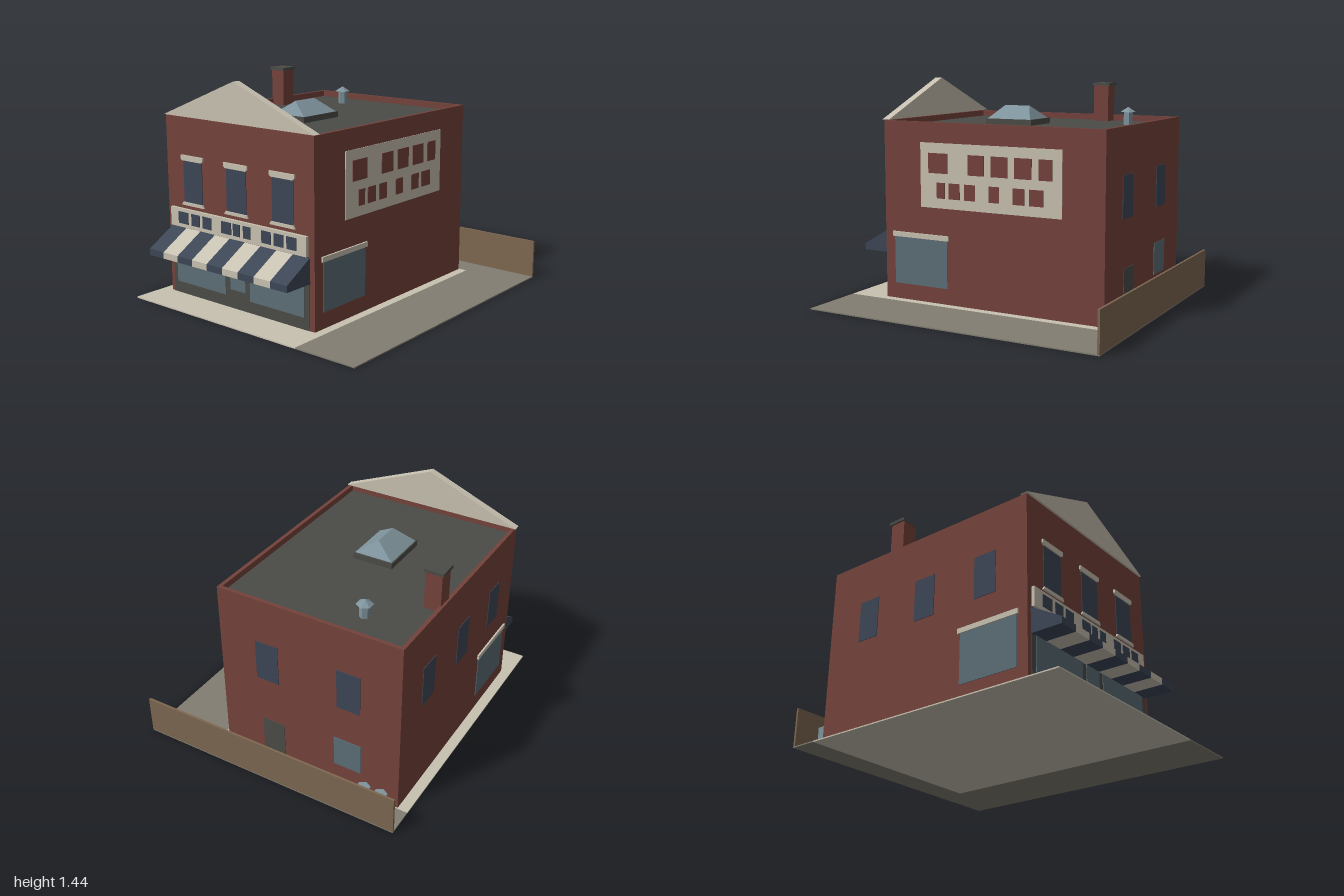
import * as THREE from 'three';
import { ConvexGeometry } from 'three/addons/geometries/ConvexGeometry.js';

const mat = (name, color) => {
  const m = new THREE.MeshStandardMaterial({ color });
  m.name = name;
  return m;
};

export function createModel() {
  const brick = mat('brick red', 0x74423b);
  const stone = mat('pale stone', 0xc8c1b1);
  const navy = mat('navy', 0x3c4656);
  const glass = mat('teal glass', 0x5c6d76);
  const steel = mat('steel blue', 0x7f949d);
  const dark = mat('dark grey', 0x4b4b47);
  const paving = mat('lot grey', 0x827d71);
  const wood = mat('fence brown', 0x7d6751);

  const model = new THREE.Group();
  model.name = 'cornerShop';

  const add = (name, geometry, material, x = 0, y = 0, z = 0) => {
    const mesh = new THREE.Mesh(geometry, material);
    mesh.name = name;
    mesh.position.set(x, y, z);
    model.add(mesh);
    return mesh;
  };
  // Box given by its limits on each axis
  const block = (name, material, x0, x1, y0, y1, z0, z1) =>
    add(name, new THREE.BoxGeometry(x1 - x0, y1 - y0, z1 - z0), material,
      (x0 + x1) / 2, (y0 + y1) / 2, (z0 + z1) / 2);

  // Building limits
  const L = -0.832, R = 0.412, B = -0.812, F = 0.755, TOP = 1.18, DECK = 1.14, G = 0.008;
  const MID = (L + R) / 2;

  // Plate on a wall: u runs along x (front, back) or z (left, right)
  const plate = (wall, name, material, u0, u1, y0, y1, t = 0.004) => {
    if (wall === 'front') return block(name, material, u0, u1, y0, y1, F, F + t);
    if (wall === 'back') return block(name, material, u0, u1, y0, y1, B - t, B);
    if (wall === 'left') return block(name, material, R, R + t, y0, y1, u0, u1);
    return block(name, material, L - t, L, y0, y1, u0, u1);
  };

  // Ground and fence
  block('sidewalk', stone, -0.9, 0.47, 0, G, -0.82, 1);
  block('sideLot', paving, 0.47, 0.9, 0, G, -1, 1);
  block('backLot', paving, -0.9, 0.47, 0, G, -1, -0.82);
  block('fence', wood, -0.9, 0.9, G, 0.26, -1, -0.985);

  // Walls, roof deck and parapets
  const P = 0.025;
  block('walls', brick, L, R, G, DECK - 0.005, B, F);
  block('roofDeck', dark, L + P, R - P, DECK - 0.005, DECK, B + P, F - P);
  block('parapetRight', brick, L, L + P, DECK - 0.005, TOP, B, F);
  block('parapetLeft', brick, R - P, R, DECK - 0.005, TOP, B, F);
  block('parapetBack', brick, L + P, R - P, DECK - 0.005, TOP, B, B + P);
  block('parapetFront', brick, L + P, R - P, DECK - 0.005, TOP, F - P, F);

  // Extruded outline in the xy plane
  const extrude = (points, depth) => new THREE.ExtrudeGeometry(
    new THREE.Shape(points.map(([x, y]) => new THREE.Vector2(x, y))),
    { depth, bevelEnabled: false });

  // Pediment
  add('pediment', extrude([[-0.63, 0], [0.63, 0], [0, 0.255]], 0.052), stone, MID, 1.185, 0.712);

  // Storefront
  plate('front', 'storefrontPanel', dark, -0.8, 0.37, G, 0.465, 0.004);
  for (const [u0, u1, y0] of [[-0.765, -0.32, 0.085], [-0.278, -0.147, 0.13], [-0.108, 0.335, 0.085]])
    plate('front', 'storefrontGlass', glass, u0, u1, y0, 0.4, 0.008);

  // Fascia board with painted blocks
  plate('front', 'fasciaBoard', stone, -0.795, 0.365, 0.465, 0.588, 0.02);
  for (const [u0, u1] of [[-0.72, -0.63], [-0.6, -0.525], [-0.498, -0.42], [-0.33, -0.245],
    [-0.228, -0.17], [-0.142, -0.08], [0.012, 0.087], [0.113, 0.19], [0.214, 0.29]])
    plate('front', 'fasciaBlock', navy, u0, u1, 0.49, 0.567, 0.024);

  // Striped awning: a wedge profile (z, y) for each stripe
  const stripes = 9, awnX = -0.803, stripeW = 1.18 / stripes;
  const wedge = extrude([[0, 0.3], [0.203, 0.3], [0.203, 0.342], [0, 0.46]], stripeW);
  wedge.rotateY(-Math.PI / 2);
  for (let i = 0; i < stripes; i++)
    add('awningStripe', wedge, i % 2 ? stone : navy, awnX + (i + 1) * stripeW, 0, F);

  // Upper front windows with flared lintels and sills
  const lintel = extrude([[-0.087, 0], [0.087, 0], [0.1, 0.012], [0.1, 0.035], [-0.1, 0.035], [-0.1, 0.012]], 0.012);
  const sill = extrude([[-0.1, 0], [0.1, 0], [0.088, 0.02], [-0.088, 0.02]], 0.012);
  for (const x of [-0.595, -0.212, 0.169]) {
    plate('front', 'frontWindow', navy, x - 0.084, x + 0.084, 0.63, 0.91);
    add('frontLintel', lintel, stone, x, 0.904, F);
    add('frontSill', sill, stone, x, 0.613, F);
  }

  // Shop windows on both side walls
  for (const wall of ['left', 'right']) {
    plate(wall, 'sideShopWindow', glass, 0.28, 0.682, 0.112, 0.425);
    plate(wall, 'sideShopLintel', stone, 0.265, 0.695, 0.425, 0.457, 0.012);
  }
  for (const z of [-0.475, -0.01, 0.455])
    plate('right', 'sideWindow', navy, z - 0.078, z + 0.078, 0.615, 0.885);

  // Painted wall panel with rows of blocks
  plate('left', 'wallPanel', stone, -0.533, 0.474, 0.633, 1.05, 0.004);
  const rows = [
    [0.857, 0.985, [[0.27, 0.412], [0.003, 0.12], [-0.163, -0.045], [-0.33, -0.21], [-0.468, -0.377]]],
    [0.697, 0.798, [[0.29, 0.35], [0.18, 0.26], [0.067, 0.147], [-0.104, -0.03], [-0.28, -0.2], [-0.41, -0.313]]],
  ];
  for (const [y0, y1, spans] of rows)
    for (const [u0, u1] of spans) plate('left', 'wallPanelBlock', brick, u0, u1, y0, y1, 0.008);

  // Back wall openings
  for (const x of [0.076, -0.488])
    plate('back', 'backWindow', navy, x - 0.079, x + 0.079, 0.615, 0.885);
  plate('back', 'backDoor', dark, -0.03, 0.125, G, 0.305);
  plate('back', 'backShopWindow', glass, -0.575, -0.388, 0.165, 0.375);

  // Skylight: curb and hipped glass
  block('skylightCurb', dark, -0.352, -0.08, DECK, 1.178, -0.062, 0.278);
  const hip = [];
  for (const x of [-0.343, -0.087]) for (const z of [-0.05, 0.268]) hip.push(new THREE.Vector3(x, 1.178, z));
  for (const z of [0.02, 0.205]) hip.push(new THREE.Vector3(-0.214, 1.263, z));
  add('skylightGlass', new ConvexGeometry(hip), steel);

  // Chimney
  block('chimney', brick, -0.817, -0.71, DECK - 0.005, 1.385, -0.335, -0.228);
  block('chimneyCap', dark, -0.828, -0.704, 1.385, 1.405, -0.345, -0.222);

  // Six-sided roof vent and bins
  const hex = (name, r0, r1, y0, y1, x, z) => add(name,
    new THREE.CylinderGeometry(r1, r0, y1 - y0, 6).toNonIndexed(), steel, x, (y0 + y1) / 2, z)
    .geometry.computeVertexNormals();
  hex('ventPipe', 0.032, 0.032, DECK, 1.228, -0.463, -0.587);
  hex('ventCap', 0.053, 0, 1.226, 1.26, -0.463, -0.587);
  for (const x of [-0.748, -0.633]) hex('bin', 0.046, 0.046, G, 0.145, x, -0.887);

  return model;
}
